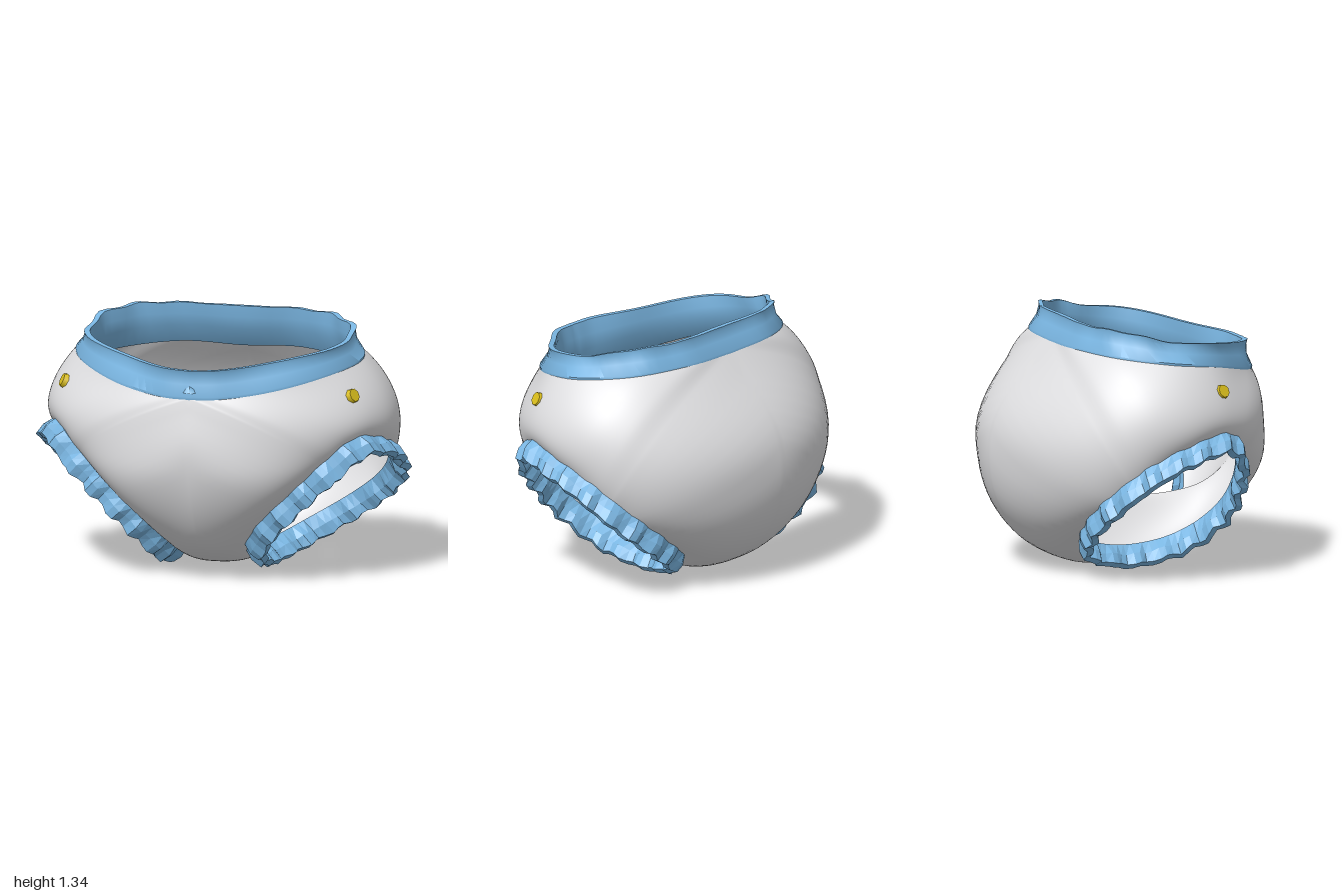
import * as THREE from 'three';
import { mergeVertices, toCreasedNormals } from 'three/addons/utils/BufferGeometryUtils.js';

const V = (x, y, z) => new THREE.Vector3(x, y, z);
const pts = (rows) => rows.map((r) => V(...r));
const curve = (points, n) =>
  new THREE.CatmullRomCurve3(points, false, 'centripetal').getPoints(n);

// Leg opening: lower run (front to back under the crotch) and upper run (back to front)
const legLower = [
  [0.69, 0.61, 0.44], [0.52, 0.45, 0.48], [0.37, 0.30, 0.46], [0.28, 0.18, 0.36],
  [0.25, 0.10, 0.20], [0.25, 0.065, 0.00], [0.31, 0.085, -0.20], [0.43, 0.15, -0.345],
  [0.64, 0.28, -0.38], [0.80, 0.40, -0.34], [0.89, 0.50, -0.25]];
const legUpper = [
  [0.89, 0.50, -0.25], [0.925, 0.57, -0.17], [0.94, 0.64, -0.05], [0.93, 0.70, 0.10],
  [0.88, 0.74, 0.25], [0.81, 0.72, 0.36], [0.75, 0.665, 0.415], [0.69, 0.61, 0.44]];

// Centre lines of the outer shell and padded lining, front waist to back waist
const outerCentre = [
  [0, 1.03, 0.70], [0, 0.72, 0.74], [0, 0.42, 0.66], [0, 0.20, 0.50], [0, 0.08, 0.27],
  [0, 0.025, 0], [0, 0.03, -0.30], [0, 0.17, -0.56], [0, 0.44, -0.72], [0, 0.80, -0.71],
  [0, 1.21, -0.40]];
const innerCentre = [
  [0, 1.03, 0.672], [0, 0.74, 0.69], [0, 0.52, 0.60], [0, 0.41, 0.46], [0, 0.365, 0.27],
  [0, 0.355, 0], [0, 0.345, -0.20], [0, 0.38, -0.38], [0, 0.50, -0.58], [0, 0.80, -0.66],
  [0, 1.21, -0.384]];

// Half waist, back to front: seam with the body, and top edge of the band
const waistBase = [
  [0, 1.21, -0.40], [0.38, 1.215, -0.38], [0.66, 1.195, -0.23], [0.78, 1.165, 0.03],
  [0.71, 1.135, 0.28], [0.43, 1.07, 0.553], [0.16, 1.035, 0.68], [0, 1.03, 0.70]];
const waistTop = [
  [0, 1.34, -0.335], [0.40, 1.34, -0.32], [0.62, 1.33, -0.20], [0.73, 1.285, 0.02],
  [0.66, 1.25, 0.28], [0.38, 1.21, 0.53], [0.15, 1.185, 0.66], [0, 1.18, 0.685]];

const holeAxis = V(0.7, -0.7, 0).normalize();
const centre = V(0, 0.66, 0);

// Distance from the centre to the rounded body along a unit direction
function bodyRadius(d) {
  const b = d.y > 0 ? 0.82 + 0.32 * d.z : 0.65 - 0.1 * d.z;
  return 1 / Math.hypot(d.x / 0.985, d.y / b, d.z / 0.74);
}

// Skin between the leg opening and the centre line plus waist, mirrored to both sides
function skin(centreLine, scale) {
  const perSpan = 6, steps = 28;
  const run = (rows) => curve(pts(rows), (rows.length - 1) * perSpan).slice(0, -1);
  const hole = [...run(legLower), ...run(legUpper)].map((p) =>
    p.addScaledVector(holeAxis, -0.05).sub(centre).multiplyScalar((1 + scale) / 2));
  const waist = waistBase.map(([x, y, z]) => [x * scale, y, z * scale]);
  const rim = [...run(centreLine), ...run(waist)].map((p) => p.sub(centre));
  const radius = (d) => bodyRadius(d) * scale;
  const n = hole.length, pos = [], index = [];
  for (const side of [1, -1]) {
    const start = pos.length / 3;
    for (let j = 0; j <= steps; j++) {
      const t = (j / steps) ** 1.3;
      const nearRim = t * t * (3 - 2 * t);
      for (let i = 0; i < n; i++) {
        const a = hole[i].clone().normalize(), b = rim[i].clone().normalize();
        // The body swells out fastest above the opening
        const nearHole = (1 - t) ** (5.5 + 2.8 * a.y);
        const f = 1 + (hole[i].length() / radius(a) - 1) * nearHole
          + (rim[i].length() / radius(b) - 1) * nearRim;
        const d = a.lerp(b, t).normalize();
        const p = d.multiplyScalar(radius(d) * f).add(centre);
        pos.push(side * (Math.abs(p.x) < 1e-6 ? 0 : p.x), p.y, p.z);
      }
    }
    for (let j = 0; j < steps; j++) {
      for (let i = 0; i < n; i++) {
        const k = (i + 1) % n;
        const a = start + j * n + i, b = start + j * n + k, c = b + n, d = a + n;
        if (side > 0) index.push(a, b, c, a, c, d);
        else index.push(a, c, b, a, d, c);
      }
    }
  }
  let g = new THREE.BufferGeometry();
  g.setAttribute('position', new THREE.Float32BufferAttribute(pos, 3));
  g.setIndex(index);
  g = mergeVertices(g, 1e-4);
  g.computeVertexNormals();
  return g;
}

// Closed loops of points joined one to the next
function loft(rings) {
  const n = rings[0].length, index = [];
  for (let j = 0; j < rings.length - 1; j++) {
    for (let i = 0; i < n; i++) {
      const k = (i + 1) % n;
      const a = j * n + i, b = j * n + k, c = b + n, d = a + n;
      index.push(a, b, c, a, c, d);
    }
  }
  const g = new THREE.BufferGeometry().setFromPoints(rings.flat());
  g.setIndex(index);
  g.computeVertexNormals();
  return g;
}

// Gathered waistband with a slight pinch, flared top and a deep inner facing
function waistband() {
  const full = (rows) => {
    const half = curve(pts(rows), 42);
    return [...half, ...half.slice(1, -1).reverse().map((p) => V(-p.x, p.y, p.z))];
  };
  const base = full(waistBase), top = full(waistTop);
  const ring = (t, inset, wave) => base.map((p, i) => {
    const q = p.clone().lerp(top[i], t);
    const ripple = wave * Math.sin(Math.abs(q.x) * 23 + q.z * 17) * Math.abs(q.x);
    const s = 1 + ripple - inset / Math.hypot(q.x, q.z);
    return V(q.x * s, q.y + ripple * 0.3 * t, q.z * s);
  });
  return toCreasedNormals(loft([
    ring(-0.03, 0, 0), ring(0.08, -0.006, 0), ring(0.5, 0.014, 0.014), ring(0.85, 0.01, 0.024),
    ring(1, 0, 0.03), ring(1, 0.03, 0.025), ring(0.5, 0.055, 0.014), ring(0, 0.07, 0),
    ring(-0.8, 0.045, 0)]), 0.7);
}

// Pleated cuff around one leg opening; side is 1 for left, -1 for right
function legCuff(side) {
  const count = 76;
  const path = new THREE.CatmullRomCurve3(
    pts([...legLower, ...legUpper.slice(1, -1)]), true, 'centripetal');
  const mid = path.getSpacedPoints(count).slice(0, -1);
  const hub = V(0.6, 0.4, 0.05);
  const profile = [[-0.075, -0.014, 0], [-0.06, 0.022, 0.4], [0, 0.028, 1], [0.058, 0.018, 1],
    [0.058, -0.02, 1], [0, -0.028, 0.8], [-0.075, -0.014, 0]];
  const rings = profile.map(([along, out, fold]) => mid.map((p, i) => {
    const o = p.clone().sub(hub);
    o.addScaledVector(holeAxis, -o.dot(holeAxis)).normalize();
    const pleat = (i % 4 < 2 ? 1 : -1) * (0.011 + 0.005 * Math.sin(i * 2.3));
    const hem = along > 0.04 ? 0.01 * Math.sin(i * 1.7) : 0;
    const q = p.clone().addScaledVector(holeAxis, along + hem)
      .addScaledVector(o, out + pleat * fold);
    return V(q.x * side, q.y, q.z);
  }));
  // Reversed loop order keeps the mirrored cuff facing outward
  const g = loft(side > 0 ? rings : rings.reverse()).toNonIndexed();
  g.computeVertexNormals();
  return g;
}

export function createModel() {
  const paint = (name, color) =>
    new THREE.MeshStandardMaterial({ name, color, side: THREE.DoubleSide });
  const cloth = paint('lightGreyCloth', 0xe0e0e2);
  const trim = paint('blueTrim', 0x7ab6e2);
  const yellow = paint('yellowButton', 0xdcc01c);

  const model = new THREE.Group();
  model.name = 'diaper';
  const add = (name, geometry, material) => {
    const mesh = new THREE.Mesh(geometry, material);
    mesh.name = name;
    model.add(mesh);
    return mesh;
  };

  add('outerShell', skin(outerCentre, 1), cloth);
  add('paddedLining', skin(innerCentre, 0.96), cloth);
  add('waistband', waistband(), trim);

  // Small folded tuck at the front of the waistband
  const tuck = add('frontTuck', new THREE.ConeGeometry(0.055, 0.035, 4), trim);
  tuck.position.set(0, 1.08, 0.685);
  tuck.scale.z = 0.4;

  // Leg cuffs and side buttons, mirrored
  for (const side of [1, -1]) {
    const label = side > 0 ? 'left' : 'right';
    add(label + 'LegCuff', legCuff(side), trim);
    const button = add(label + 'Button', new THREE.CylinderGeometry(0.036, 0.044, 0.04, 8), yellow);
    button.position.set(side * 0.788, 1.01, 0.295);
    button.quaternion.setFromUnitVectors(V(0, 1, 0), V(side * 0.82, 0.42, 0.38).normalize());
  }
  return model;
}
